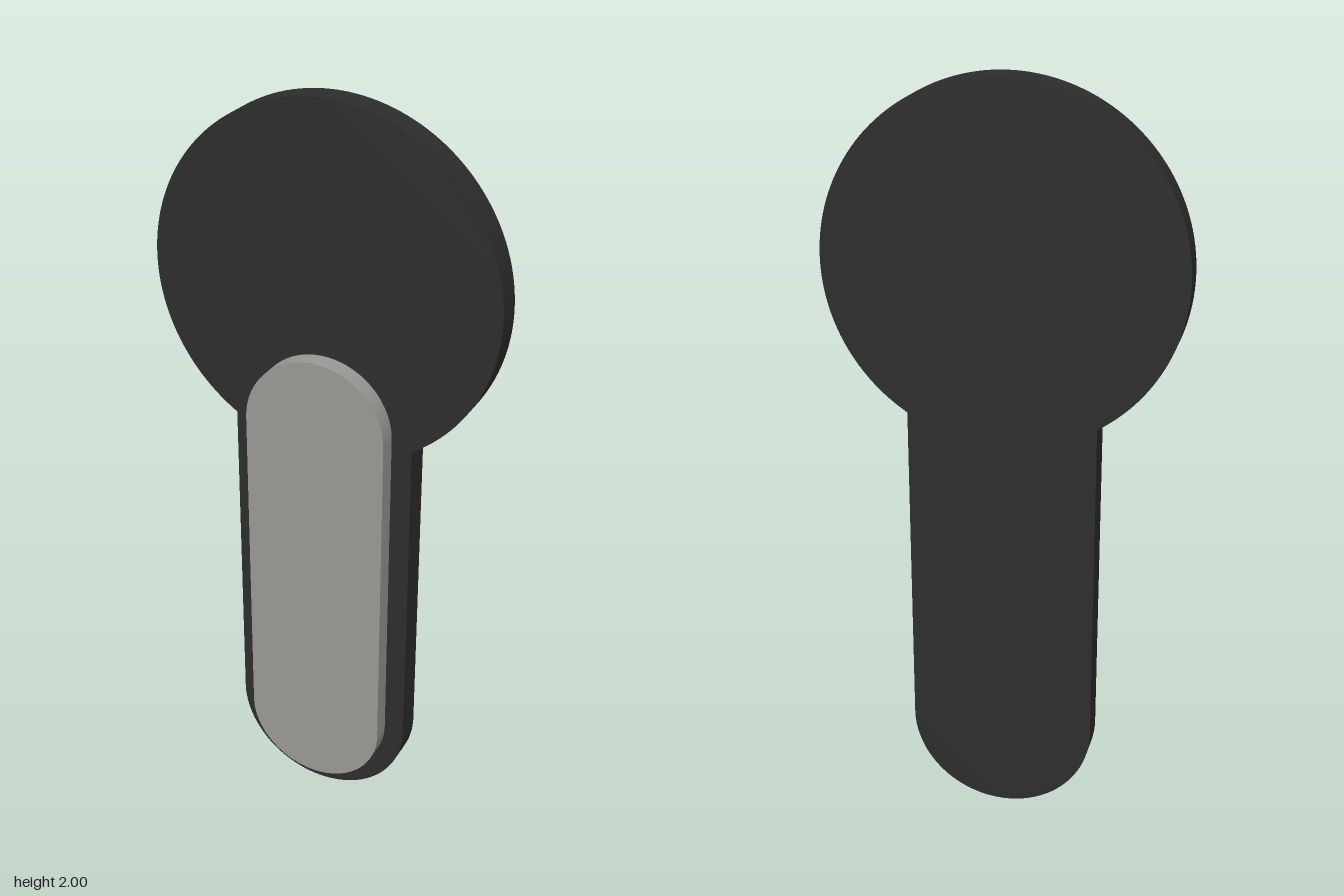
import * as THREE from 'three';
import { toCreasedNormals } from 'three/addons/utils/BufferGeometryUtils.js';

const HEAD_Y = 1.533, HEAD_R = 0.467; // round head
const STEM_R = 0.248;                 // half width of the stem
const PAD_R = 0.193;                  // half width of the raised pad
const BACK = -0.062, FACE = 0.011, FRONT = 0.062;

// Extrude an outline between two depths, with smooth rims and sharp edges
function slab(name, shape, z0, z1, color) {
  const flat = new THREE.ExtrudeGeometry(shape, { depth: z1 - z0, bevelEnabled: false, curveSegments: 64 });
  const mesh = new THREE.Mesh(toCreasedNormals(flat, 0.5), new THREE.MeshStandardMaterial({ color }));
  mesh.name = name;
  mesh.position.z = z0;
  return mesh;
}

export function createModel() {
  const group = new THREE.Group();
  group.name = 'keyholePlate';

  // Backing plate: stem with a rounded foot, running into a round head
  const join = -Math.acos(STEM_R / HEAD_R);
  const plate = new THREE.Shape();
  plate.absarc(0, STEM_R, STEM_R, Math.PI, 2 * Math.PI, false);
  plate.absarc(0, HEAD_Y, HEAD_R, join, Math.PI - join, false);
  plate.closePath();
  group.add(slab('backingPlate', plate, BACK, FACE, 0x2d2d2d));

  // Raised pad with two rounded ends
  const pad = new THREE.Shape();
  pad.absarc(0, 0.06 + PAD_R, PAD_R, Math.PI, 2 * Math.PI, false);
  pad.absarc(0, 1.35 - PAD_R, PAD_R, 0, Math.PI, false);
  pad.closePath();
  group.add(slab('raisedPad', pad, FACE, FRONT, 0x999895));

  return group;
}
